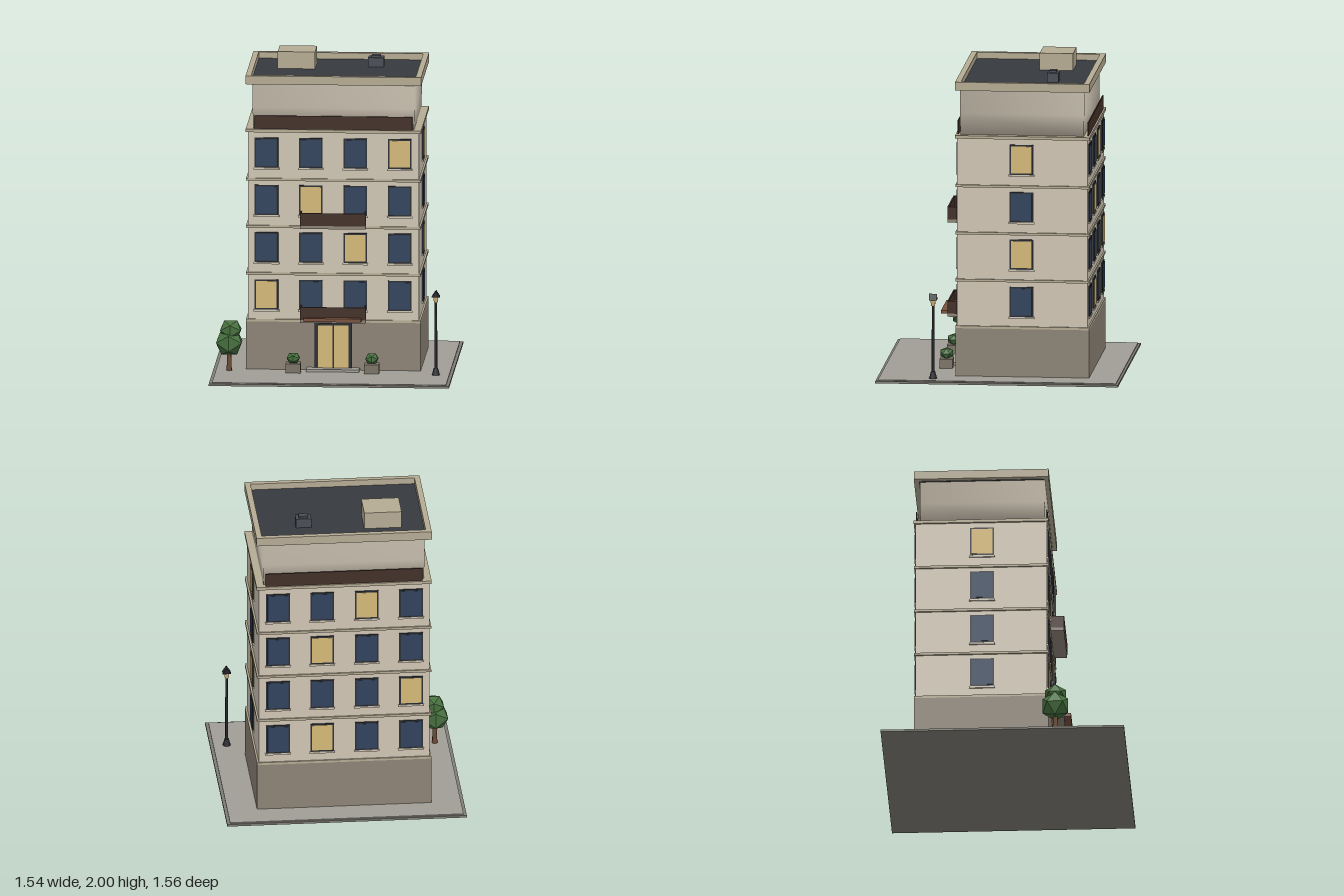
import * as THREE from 'three';

const CZ = -0.145; // centre of the building in z
const mat = (color, extra = {}) => new THREE.MeshStandardMaterial({ color, ...extra });
const M = {
  wall: mat(0xcfc5b4), base: mat(0x8c8375), trim: mat(0xb5ab93), roof: mat(0x363a40),
  frame: mat(0x2b2f36), glass: mat(0x31435c), lit: mat(0xd4b877), rail: mat(0x432f28),
  awning: mat(0x7a513e), pave: mat(0xa09d95), curb: mat(0x7f7d75), planter: mat(0x7b7468),
  metal: mat(0x25262b), vent: mat(0x4a4e55), trunk: mat(0x6b4a32),
  leaf: mat(0x47703f, { flatShading: true }), lamp: mat(0xe8c48a),
};

function add(parent, name, geo, material, x = 0, y = 0, z = 0) {
  const m = new THREE.Mesh(geo, material);
  m.name = name;
  m.position.set(x, y, z);
  parent.add(m);
  return m;
}
// box given by its width, depth, bottom and top
const box = (parent, name, material, w, d, y0, y1, x = 0, z = 0) =>
  add(parent, name, new THREE.BoxGeometry(w, y1 - y0, d), material, x, (y0 + y1) / 2, z);

function group(parent, name, x = 0, y = 0, z = 0) {
  const g = new THREE.Group();
  g.name = name;
  g.position.set(x, y, z);
  parent.add(g);
  return g;
}

// framed window facing +z, turned by angle
function windowUnit(parent, x, y, z, angle, lit) {
  const g = group(parent, 'window', x, y, z);
  g.rotation.y = angle;
  box(g, 'windowFrame', M.frame, 0.152, 0.012, -0.097, 0.097);
  box(g, 'windowPane', lit ? M.lit : M.glass, 0.132, 0.016, -0.087, 0.087);
  box(g, 'windowSill', M.wall, 0.165, 0.016, -0.11, -0.098);
}

// open balcony: slab with three thin solid railings
function balcony(parent, y) {
  const g = group(parent, 'balcony', 0, y, 0.322);
  box(g, 'balconySlab', M.base, 0.42, 0.095, 0, 0.02);
  box(g, 'balconyFront', M.rail, 0.42, 0.01, 0.02, 0.102, 0, 0.043);
  for (const s of [-1, 1]) box(g, 'balconySide', M.rail, 0.01, 0.09, 0.02, 0.102, s * 0.205, 0);
}

function foliage(parent, name, r, x, y, z, squash = 1) {
  const m = add(parent, name, new THREE.IcosahedronGeometry(r, 0), M.leaf, x, y, z);
  m.scale.y = squash;
  return m;
}

export function createModel() {
  const model = new THREE.Group();
  model.name = 'apartmentBuilding';

  // pavement
  box(model, 'curb', M.curb, 1.54, 1.56, 0, 0.014);
  box(model, 'pavement', M.pave, 1.5, 1.53, 0.005, 0.02);

  // main body and floor bands
  box(model, 'groundFloor', M.base, 1.12, 0.86, 0.02, 0.33, 0, CZ);
  box(model, 'upperFloors', M.wall, 1.096, 0.84, 0.33, 1.57, 0, CZ);
  for (const y of [0.338, 0.642, 0.948, 1.255])
    box(model, 'floorBand', M.trim, 1.12, 0.86, y - 0.008, y + 0.008, 0, CZ);
  box(model, 'ledge', M.trim, 1.125, 0.865, 1.563, 1.583, 0, CZ);

  // set-back top storey with softly shaded walls
  const profile = [[0.6, 1.58], [0.99, 1.58], [1, 1.72], [1, 1.88]]
    .map(([r, y]) => new THREE.Vector2(r * Math.SQRT2, y));
  const top = add(model, 'topStorey', new THREE.LatheGeometry(profile, 4, Math.PI / 4), M.wall, 0, 0, CZ + 0.005);
  top.scale.set(0.52, 1, 0.4);
  for (const s of [-1, 1]) box(model, 'topRailing', M.rail, 1.01, 0.008, 1.583, 1.67, 0, CZ + s * 0.418);

  // parapet ring and roof
  const rect = (P, w, h) => new P([[-w, -h], [w, -h], [w, h], [-w, h]].map(p => new THREE.Vector2(...p)));
  const ring = rect(THREE.Shape, 0.563, 0.432);
  ring.holes.push(rect(THREE.Path, 0.527, 0.395));
  const parapet = add(model, 'parapet',
    new THREE.ExtrudeGeometry(ring, { depth: 0.055, bevelEnabled: false }), M.trim, 0, 1.875, CZ);
  parapet.rotation.x = -Math.PI / 2;
  box(model, 'roof', M.roof, 1.06, 0.8, 1.872, 1.89, 0, CZ);
  box(model, 'roofHut', M.trim, 0.24, 0.215, 1.885, 2, -0.265, -0.297);
  box(model, 'roofVent', M.vent, 0.1, 0.075, 1.885, 1.95, 0.24, -0.315);
  box(model, 'ventCap', M.vent, 0.06, 0.045, 1.95, 1.963, 0.24, -0.315);

  // windows: lit column of each floor, front and back; lit floors on the sides
  const columns = [-0.43, -0.145, 0.14, 0.425];
  const litFront = [0, 2, 1, 3], litBack = [2, 0, 2, 1];
  const litRight = [false, true, false, true], litLeft = [false, false, false, true];
  for (let f = 0; f < 4; f++) {
    const y = 0.506 + f * 0.308;
    columns.forEach((x, c) => {
      windowUnit(model, x, y, 0.277, 0, c === litFront[f]);
      windowUnit(model, x, y, -0.567, Math.PI, c === litBack[f]);
    });
    windowUnit(model, 0.55, y, -0.14, Math.PI / 2, litRight[f]);
    windowUnit(model, -0.55, y, -0.14, -Math.PI / 2, litLeft[f]);
  }

  // balconies, entrance
  balcony(model, 0.34);
  balcony(model, 0.952);
  box(model, 'awning', M.awning, 0.37, 0.13, 0.355, 0.377, 0, 0.348);
  box(model, 'doorFrame', M.frame, 0.24, 0.02, 0.03, 0.325, 0, 0.285);
  for (const s of [-1, 1]) box(model, 'doorLeaf', M.lit, 0.094, 0.026, 0.035, 0.312, s * 0.052, 0.285);
  box(model, 'doorStep', M.pave, 0.34, 0.08, 0.02, 0.036, 0, 0.32);

  // planters with bushes
  for (const s of [-1, 1]) {
    box(model, 'planter', M.planter, 0.095, 0.085, 0.02, 0.08, s * 0.252, 0.37);
    foliage(model, 'bush', 0.048, s * 0.252, 0.112, 0.37, 0.8);
  }

  // tree
  const tree = group(model, 'tree', -0.665, 0, 0.335);
  add(tree, 'trunk', new THREE.CylinderGeometry(0.013, 0.019, 0.14, 6), M.trunk, 0, 0.09, 0);
  foliage(tree, 'lowerCrown', 0.096, 0, 0.205, 0);
  foliage(tree, 'upperCrown', 0.078, 0.01, 0.285, 0, 0.9);

  // street lamp with a small gabled cap
  const lamp = group(model, 'streetLamp', 0.665, 0, 0.418);
  add(lamp, 'lampFoot', new THREE.CylinderGeometry(0.014, 0.026, 0.045, 8), M.metal, 0, 0.042, 0);
  add(lamp, 'lampPole', new THREE.CylinderGeometry(0.008, 0.01, 0.44, 8), M.metal, 0, 0.28, 0);
  add(lamp, 'lantern', new THREE.CylinderGeometry(0.024, 0.016, 0.045, 4), M.lamp, 0, 0.515, 0).rotation.y = Math.PI / 4;
  const gable = new THREE.Shape([[-0.027, 0], [0.027, 0], [0, 0.04]].map(p => new THREE.Vector2(...p)));
  add(lamp, 'lampCap', new THREE.ExtrudeGeometry(gable, { depth: 0.05, bevelEnabled: false }), M.metal, 0, 0.53, -0.025);

  return model;
}
